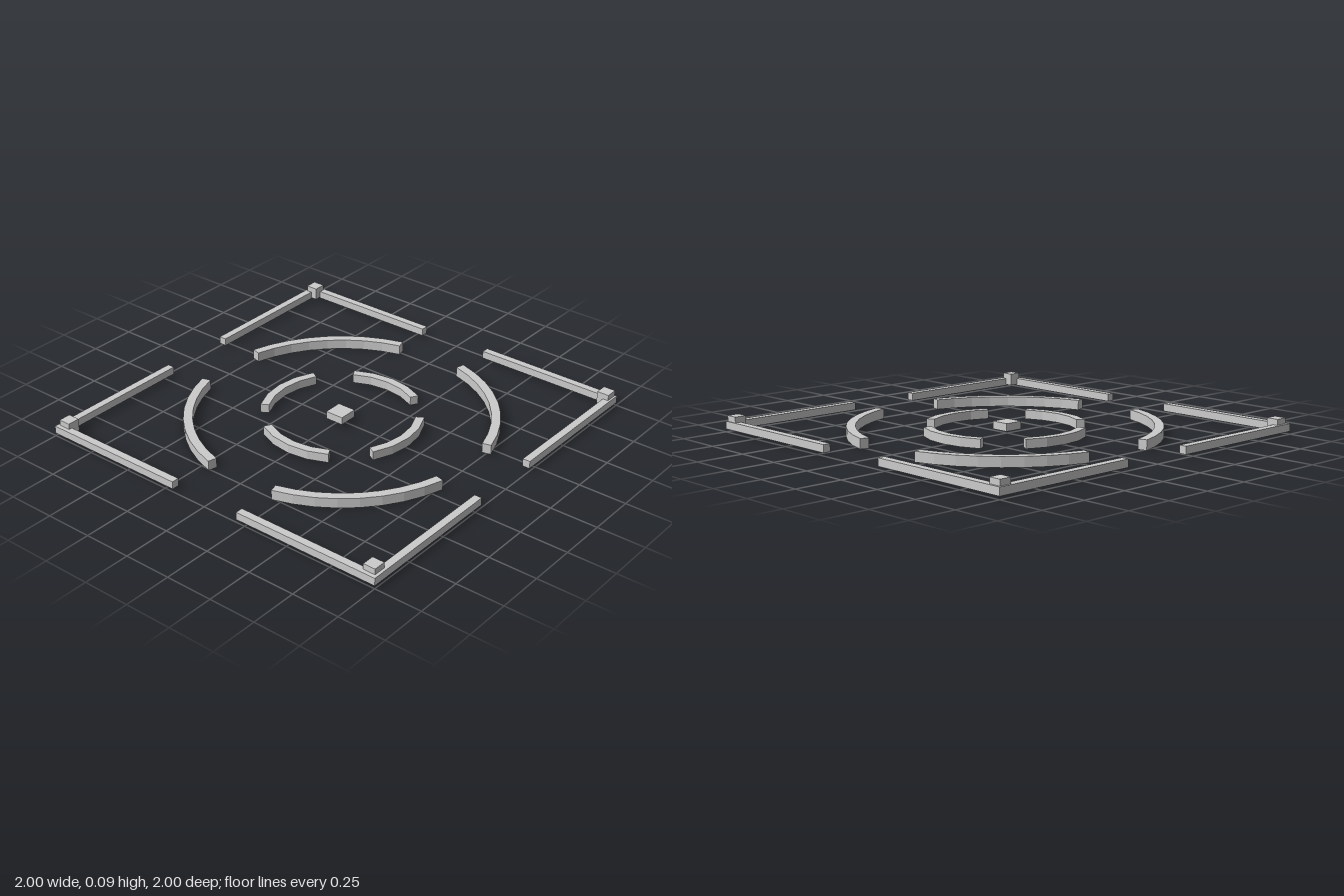
import * as THREE from 'three';

const material = new THREE.MeshStandardMaterial({ color: 0xcccccc, flatShading: true });

function box(name, w, h, d, x, bottom, z) {
  const mesh = new THREE.Mesh(new THREE.BoxGeometry(w, h, d), material);
  mesh.name = name;
  mesh.position.set(x, bottom + h / 2, z);
  return mesh;
}

// Faceted curved wall, centred on angle 0 and lying flat on y = 0
function arcGeometry(inner, outer, halfAngle, segments, height) {
  const points = [];
  const at = (r, a) => new THREE.Vector2(r * Math.cos(a), r * Math.sin(a));
  for (let i = 0; i <= segments; i++) points.push(at(outer, halfAngle * (2 * i / segments - 1)));
  for (let i = segments; i >= 0; i--) points.push(at(inner, halfAngle * (2 * i / segments - 1)));
  const geometry = new THREE.ExtrudeGeometry(new THREE.Shape(points), { depth: height, bevelEnabled: false });
  return geometry.rotateX(-Math.PI / 2);
}

// Four equal walls around the centre
function ring(name, geometry, startAngle, bottom) {
  const group = new THREE.Group();
  group.name = name;
  group.position.set(0.003, bottom, -0.01);
  for (let i = 0; i < 4; i++) {
    const mesh = new THREE.Mesh(geometry, material);
    mesh.name = name + 'Wall';
    mesh.rotation.y = startAngle + i * Math.PI / 2;
    group.add(mesh);
  }
  return group;
}

export function createModel() {
  const model = new THREE.Group();
  model.name = 'courtyardLayout';
  const deg = THREE.MathUtils.degToRad;

  // Outer square: an L of two walls and a post at each corner
  const posts = [[-0.957, -0.956], [0.957, -0.962], [0.952, 0.946], [-0.954, 0.946]];
  for (const [px, pz] of posts) {
    const sx = Math.sign(px), sz = Math.sign(pz);
    const corner = new THREE.Group();
    corner.name = 'outerCorner';
    corner.add(
      box('crossWall', 0.8, 0.04, 0.04, sx * 0.6, 0.015, sz * 0.98),
      box('sideWall', 0.04, 0.04, 0.76, sx * 0.98, 0.015, sz * 0.58),
      box('cornerPost', 0.065, 0.065, 0.065, px, 0.02, pz)
    );
    model.add(corner);
  }

  // Middle ring faces the corners, inner ring faces the openings
  model.add(ring('middleRing', arcGeometry(0.747, 0.794, deg(30.5), 8, 0.052), Math.PI / 4, 0));
  model.add(ring('innerRing', arcGeometry(0.372, 0.416, deg(30), 4, 0.047), 0, 0.005));

  // Central block
  model.add(box('centreBlock', 0.1, 0.04, 0.1, 0.005, 0.02, 0.005));
  return model;
}
